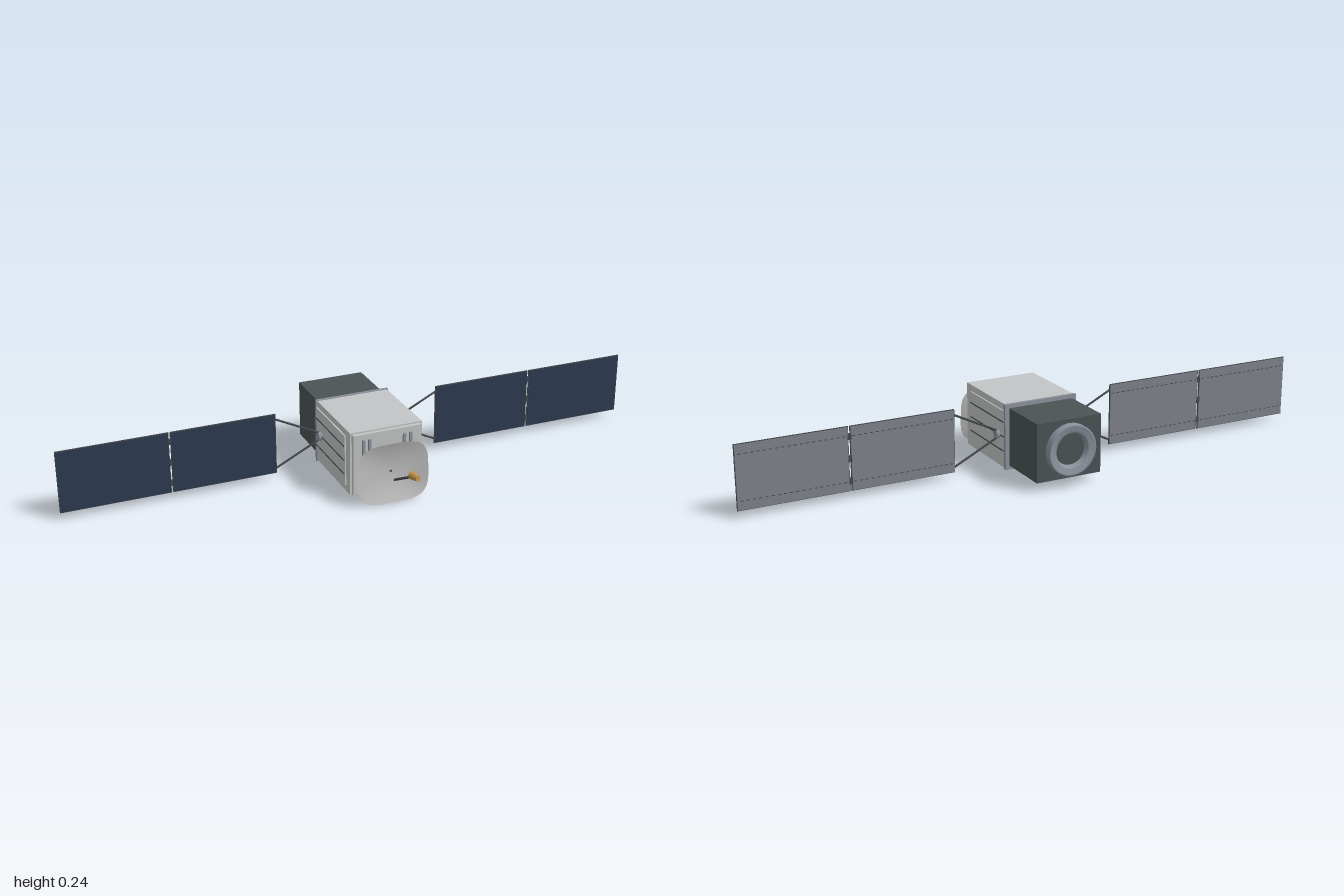
import * as THREE from 'three';

const mat = (name, color, side = THREE.FrontSide) => {
  const m = new THREE.MeshStandardMaterial({ color, side });
  m.name = name;
  return m;
};

export function createModel() {
  const root = new THREE.Group();
  root.name = 'satellite';
  const white = mat('hull white', 0xc2c4c5);
  const dark = mat('dark slate', 0x4a5355);
  const steel = mat('steel', 0x8b919c, THREE.DoubleSide);
  const navy = mat('solar navy', 0x2c3a50);
  const grey = mat('panel back grey', 0x7d8189);
  const black = mat('strut charcoal', 0x45494c);
  const gold = mat('feed gold', 0xc2924a);
  const dishGrey = mat('dish grey', 0xbababa, THREE.DoubleSide);

  const CY = 0.131; // height of the long axis

  const add = (name, geo, material, x = 0, y = 0, z = 0, parent = root) => {
    const m = new THREE.Mesh(geo, material);
    m.name = name;
    m.position.set(x, y, z);
    parent.add(m);
    return m;
  };
  const box = (name, material, sx, sy, sz, x, y, z, parent = root) =>
    add(name, new THREE.BoxGeometry(sx, sy, sz), material, x, y, z, parent);
  // round bar between two points
  const rod = (name, material, a, b, ra, rb = ra, sides = 8, parent = root) => {
    const p = new THREE.Vector3(...a), q = new THREE.Vector3(...b);
    const m = add(name, new THREE.CylinderGeometry(rb, ra, p.distanceTo(q), sides), material, 0, 0, 0, parent);
    m.position.copy(p).lerp(q, 0.5);
    m.quaternion.setFromUnitVectors(new THREE.Vector3(0, 1, 0), q.sub(p).normalize());
    return m;
  };

  // hull sections along z
  box('mainBody', white, 0.248, 0.215, 0.275, 0, CY, 0.0425);
  box('frontPlate', white, 0.236, 0.207, 0.013, 0, 0.13, 0.1865);
  box('rearCollar', steel, 0.258, 0.219, 0.01, 0, CY, -0.1);
  box('rearModule', dark, 0.228, 0.193, 0.184, 0, CY, -0.197);

  // upright bars on the front plate
  for (const x of [-0.084, -0.064, 0.056, 0.078])
    box('frontBar', steel, 0.009, 0.169, 0.007, x, 0.1305, 0.1965);

  // ring with a recessed centre on the tail
  const ring = [[0.084, 0], [0.084, 0.024], [0.078, 0.024], [0.062, 0.019], [0.056, 0.019], [0.052, 0.004]];
  const ringGeo = new THREE.LatheGeometry(ring.map(p => new THREE.Vector2(...p)), 40);
  add('tailRing', ringGeo, steel, 0, CY, -0.289).rotation.x = -Math.PI / 2;
  add('tailPort', new THREE.CylinderGeometry(0.054, 0.054, 0.006, 40), dark, 0, CY, -0.289).rotation.x = Math.PI / 2;

  // side plates, solar wings
  for (const s of [1, -1]) {
    const side = new THREE.Group();
    side.name = s > 0 ? 'leftSide' : 'rightSide';
    root.add(side);
    box('sidePlate', white, 0.005, 0.172, 0.243, s * 0.1262, CY, 0.0265, side);
    for (const y of [0.083, 0.131, 0.18])
      box('sideRib', black, 0.004, 0.0035, 0.238, s * 0.129, y, 0.025, side);

    const hub = add('wingHub', new THREE.CylinderGeometry(0.0155, 0.0155, 0.014, 8), steel, s * 0.133, CY, -0.056, side);
    hub.rotation.z = Math.PI / 2;
    for (const d of [1, -1])
      rod('wingStrut', black, [s * 0.132, CY + d * 0.011, -0.057], [s * 0.288, CY + d * 0.088, -0.057], 0.0035, 0.0035, 8, side);

    for (const [i, cx] of [0.4605, 0.8205].entries()) {
      const w = i ? 0.359 : 0.351;
      const x = s * cx;
      box('panelCore', black, w, 0.21, 0.004, x, 0.132, -0.057, side);
      box('solarCells', navy, w - 0.004, 0.206, 0.002, x, 0.132, -0.054, side);
      box('panelBack', grey, w - 0.004, 0.206, 0.002, x, 0.132, -0.06, side);
      // dashed seams on the back
      for (const y of [0.058, 0.206])
        for (let k = 0; k < 18; k++)
          box('seamDash', black, 0.01, 0.0025, 0.001, x + (k - 8.5) * 0.0193, y, -0.0614, side);
    }
    for (const y of [0.06, 0.132, 0.204])
      box('panelHinge', black, 0.012, 0.02, 0.008, s * 0.6385, y, -0.058, side);
  }

  // shallow dish with a rounded-square rim, built from rings
  const RINGS = 8, SEG = 56, pos = [], idx = [];
  for (let i = 0; i <= RINGS; i++) {
    const r = i / RINGS;
    for (let j = 0; j < SEG; j++) {
      const a = (j / SEG) * Math.PI * 2, c = Math.cos(a), n = Math.sin(a);
      const e = 2 / (2 + 1.6 * r);
      pos.push(0.122 * r * Math.sign(c) * Math.abs(c) ** e, 0.1 * r * Math.sign(n) * Math.abs(n) ** e, 0.021 * (r * r - 1));
      if (i < RINGS) {
        const k = (j + 1) % SEG, A = i * SEG + j, B = i * SEG + k;
        if (i > 0) idx.push(A, B + SEG, B);
        idx.push(A, A + SEG, B + SEG);
      }
    }
  }
  const dishGeo = new THREE.BufferGeometry();
  dishGeo.setAttribute('position', new THREE.Float32BufferAttribute(pos, 3));
  dishGeo.setIndex(idx);
  dishGeo.computeVertexNormals();
  // the collapsed centre ring needs a fixed normal
  for (let j = 0; j < SEG; j++) dishGeo.attributes.normal.setXYZ(j, 0, 0, 1);
  add('dish', dishGeo, dishGrey, 0, 0.103, 0.2375).rotation.x = -0.075;

  // dish mount, feed boom and horn
  rod('dishMount', black, [0, 0.096, 0.19], [0, 0.103, 0.219], 0.004);
  rod('feedBoom', black, [-0.005, 0.054, 0.19], [0.046, 0.101, 0.279], 0.0042);
  rod('feedHorn', gold, [0.046, 0.105, 0.276], [0.051, 0.108, 0.313], 0.0135, 0.009, 16);

  return root;
}
